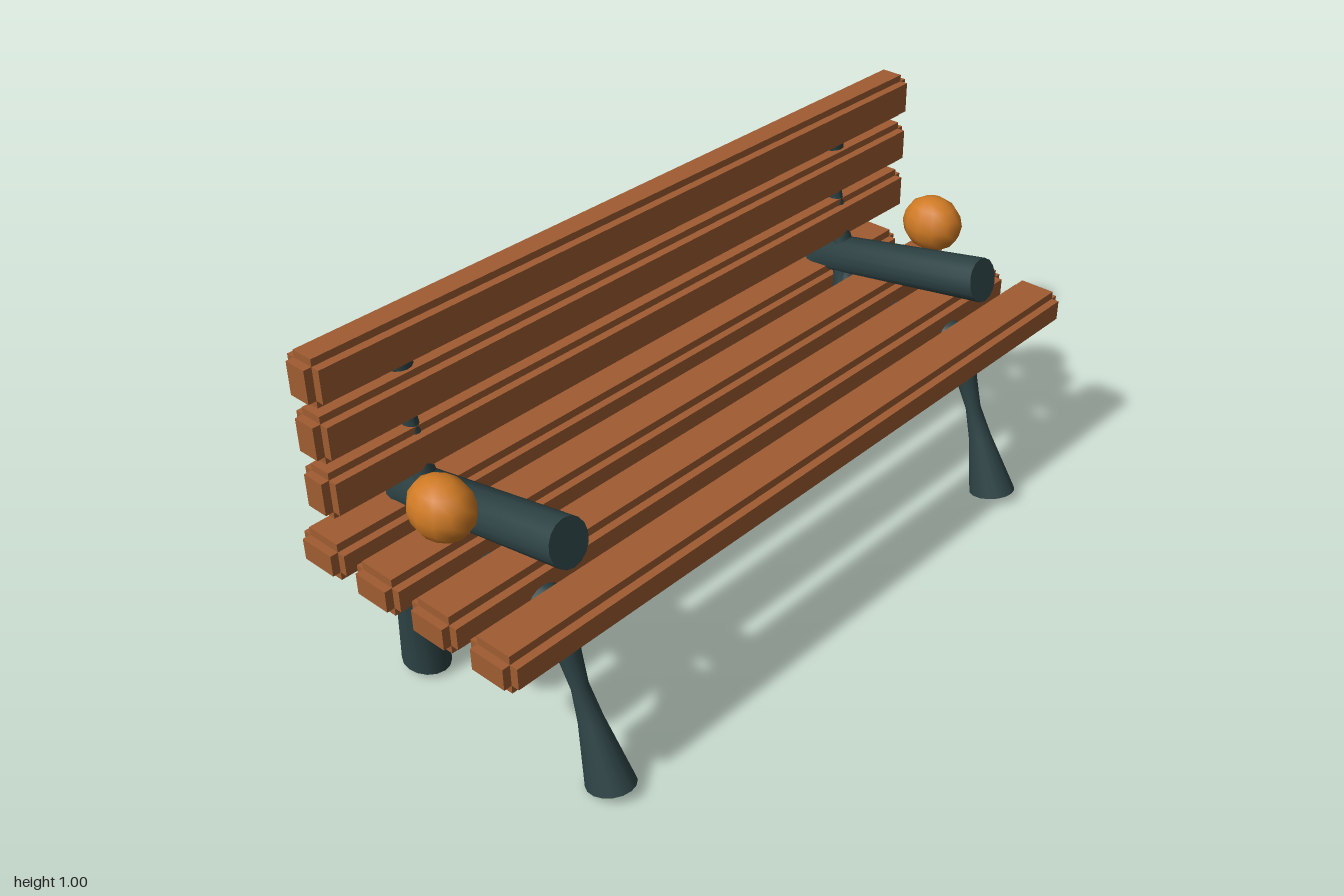
import * as THREE from 'three';

const wood = new THREE.MeshStandardMaterial({ name: 'brownWood', color: 0xa05c32 });
const metal = new THREE.MeshStandardMaterial({ name: 'darkMetal', color: 0x2d4244 });
const orange = new THREE.MeshStandardMaterial({ name: 'orangeKnob', color: 0xcf7a24 });

// Bar through elliptical sections [az, ay, bz, by, halfWidthX], with flat end caps
function loftBar(sections, sides = 16) {
  const pos = [], index = [];
  const ring = ([az, ay, bz, by, hx]) => {
    const start = pos.length / 3;
    for (let j = 0; j < sides; j++) {
      const t = (j / sides) * Math.PI * 2, c = Math.cos(t) / 2;
      pos.push(hx * Math.sin(t), (ay + by) / 2 + c * (ay - by), (az + bz) / 2 + c * (az - bz));
    }
    return start;
  };
  const rings = sections.map(ring);
  for (let i = 0; i < rings.length - 1; i++) {
    for (let j = 0; j < sides; j++) {
      const k = (j + 1) % sides, p = rings[i], q = rings[i + 1];
      index.push(p + j, p + k, q + k, p + j, q + k, q + j);
    }
  }
  const first = ring(sections[0]), last = ring(sections[sections.length - 1]);
  for (let j = 1; j < sides - 1; j++) {
    index.push(first, first + j + 1, first + j, last, last + j, last + j + 1);
  }
  const g = new THREE.BufferGeometry();
  g.setAttribute('position', new THREE.Float32BufferAttribute(pos, 3));
  g.setIndex(index);
  g.computeVertexNormals();
  return g;
}

// Plank with stepped edges: three crossing boxes, each full size along one axis
function makeSlat(name, y, z, [fullY, innerY], [fullZ, innerZ]) {
  const slat = new THREE.Group();
  slat.name = name;
  const sizes = {
    core: [2, innerY, innerZ],
    tallLayer: [1.96, fullY, innerZ],
    wideLayer: [1.96, innerY, fullZ],
  };
  for (const [part, size] of Object.entries(sizes)) {
    const mesh = new THREE.Mesh(new THREE.BoxGeometry(...size), wood);
    mesh.name = part;
    slat.add(mesh);
  }
  slat.position.set(0, y, z);
  return slat;
}

export function createModel() {
  const bench = new THREE.Group();
  bench.name = 'bench';

  // Seat and backrest planks
  [0.248, 0.066, -0.115, -0.297].forEach((z, i) =>
    bench.add(makeSlat(`seatSlat${i + 1}`, 0.483, z, [0.096, 0.054], [0.138, 0.096])));
  [0.663, 0.804, 0.942].forEach((y, i) =>
    bench.add(makeSlat(`backSlat${i + 1}`, y, -0.27, [0.117, 0.081], [0.102, 0.058])));

  // Armrest bending down into the rear leg
  const armGeometry = loftBar([
    [0.212, 0.697, 0.238, 0.583, 0.055],
    [-0.345, 0.583, -0.243, 0.505, 0.055],
    [-0.375, 0.022, -0.243, 0.018, 0.055],
  ]);

  // Pinched front leg, seat rail and back post in one bar
  const frameGeometry = loftBar([
    [0.378, 0.035, 0.252, 0.003, 0.055],
    [0.29, 0.18, 0.232, 0.165, 0.03],
    [0.25, 0.257, 0.213, 0.25, 0.022],
    [0.23, 0.34, 0.178, 0.322, 0.028],
    [0.2, 0.485, 0.13, 0.4, 0.05],
    [-0.02, 0.472, -0.02, 0.402, 0.035],
    [-0.185, 0.475, -0.255, 0.405, 0.05],
    [-0.19, 0.55, -0.245, 0.535, 0.04],
    [-0.225, 0.65, -0.265, 0.64, 0.02],
    [-0.245, 0.74, -0.295, 0.735, 0.018],
    [-0.25, 0.875, -0.335, 0.86, 0.037],
    [-0.25, 0.967, -0.375, 0.945, 0.055],
  ]);

  // Side frames and round knobs
  const knobGeometry = new THREE.SphereGeometry(1, 12, 8).scale(0.069, 0.075, 0.084);
  for (const [label, s] of [['left', 1], ['right', -1]]) {
    const arm = new THREE.Mesh(armGeometry, metal);
    arm.name = `${label}ArmrestAndRearLeg`;
    arm.position.x = s * 0.74;
    const frame = new THREE.Mesh(frameGeometry, metal);
    frame.name = `${label}FrontLegAndBackPost`;
    frame.position.x = s * 0.74;
    const knob = new THREE.Mesh(knobGeometry, orange);
    knob.name = `${label}Knob`;
    knob.position.set(s * 0.861, 0.674, -0.025);
    bench.add(arm, frame, knob);
  }
  return bench;
}
